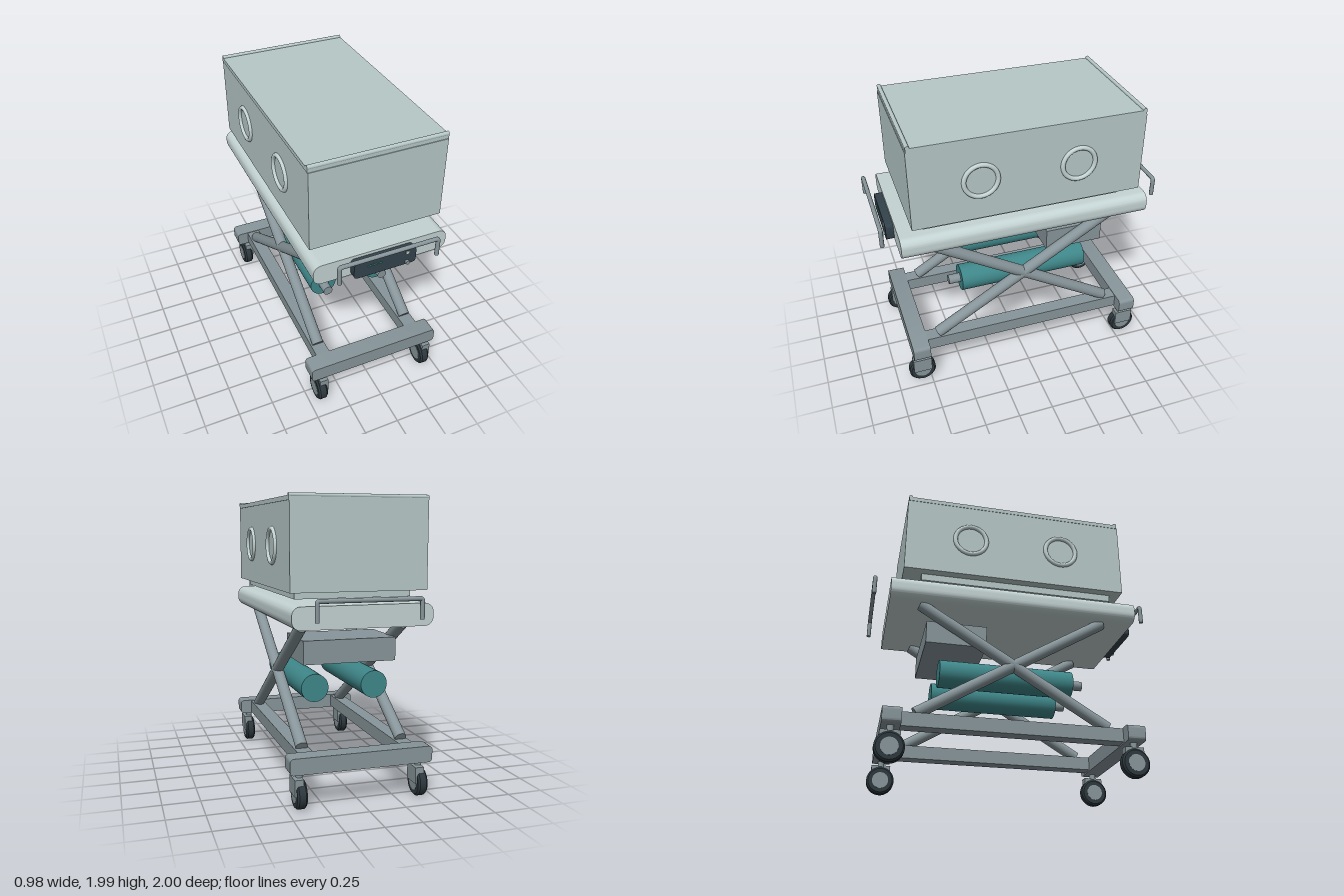
import * as THREE from 'three';
import { toCreasedNormals } from 'three/addons/utils/BufferGeometryUtils.js';

const paint = (name, color) => {
  const m = new THREE.MeshStandardMaterial({ color });
  m.name = name;
  return m;
};

export function createModel() {
  const model = new THREE.Group();
  model.name = 'transportIncubator';
  const canopyMat = paint('canopy grey', 0xb6c8c7);
  const trayMat = paint('pale enamel', 0xc4d3d3);
  const steel = paint('steel', 0x87959a);
  const teal = paint('teal', 0x3f878a);
  const dark = paint('dark plastic', 0x33424b);
  const rubber = paint('rubber', 0x2d383e);
  const green = paint('indicator green', 0x3fb59c);

  const add = (name, geo, mat, x = 0, y = 0, z = 0, parent = model) => {
    const mesh = new THREE.Mesh(geo, mat);
    mesh.name = name;
    mesh.position.set(x, y, z);
    parent.add(mesh);
    return mesh;
  };
  // box given by its limits on each axis
  const box = (name, mat, x0, x1, y0, y1, z0, z1, parent) =>
    add(name, new THREE.BoxGeometry(x1 - x0, y1 - y0, z1 - z0), mat,
      (x0 + x1) / 2, (y0 + y1) / 2, (z0 + z1) / 2, parent);
  // bar with a rounded section in xy, running along z
  const roundedBar = (w, h, r, depth) => {
    const a = w / 2 - r, b = h / 2 - r;
    const s = new THREE.Shape();
    s.absarc(a, b, r, 0, Math.PI / 2);
    s.absarc(-a, b, r, Math.PI / 2, Math.PI);
    s.absarc(-a, -b, r, Math.PI, Math.PI * 1.5);
    s.absarc(a, -b, r, Math.PI * 1.5, Math.PI * 2);
    s.closePath();
    const g = new THREE.ExtrudeGeometry(s, { depth, bevelEnabled: false, curveSegments: 8 });
    g.translate(0, 0, -depth / 2);
    return toCreasedNormals(g, 0.6);
  };
  // cylinder between two points
  const rod = (name, mat, r, a, b, parent, sides = 24) => {
    const from = new THREE.Vector3(...a), to = new THREE.Vector3(...b);
    const dir = to.clone().sub(from);
    const mesh = add(name, new THREE.CylinderGeometry(r, r, dir.length(), sides), mat, 0, 0, 0, parent);
    mesh.position.copy(from).add(to).multiplyScalar(0.5);
    mesh.quaternion.setFromUnitVectors(new THREE.Vector3(0, 1, 0), dir.normalize());
    return mesh;
  };

  // canopy, lid and plinth
  box('canopy', canopyMat, -0.462, 0.462, 1.38, 1.945, -0.8, 0.8);
  box('lid', canopyMat, -0.465, 0.465, 1.945, 1.975, -0.795, 0.795);
  box('plinth', canopyMat, -0.4, 0.4, 1.33, 1.38, -0.67, 0.72);
  for (const s of [-1, 1]) {
    rod('lidEndRail', canopyMat, 0.014, [-0.465, 1.976, s * 0.783], [0.465, 1.976, s * 0.783]);
    // porthole rings
    for (const z of [0.335, -0.335]) {
      const ring = add('portholeRing', new THREE.TorusGeometry(0.114, 0.016, 12, 48), trayMat, s * 0.465, 1.665, z);
      ring.rotation.y = Math.PI / 2;
    }
  }

  // mattress tray
  add('tray', roundedBar(0.945, 0.148, 0.058, 1.76), trayMat, 0, 1.23, 0.002);

  // control panel with indicators and knobs
  const panel = new THREE.Group();
  panel.name = 'controlPanel';
  model.add(panel);
  add('panelBody', roundedBar(0.44, 0.12, 0.025, 0.055), dark, 0, 1.223, 0.91, panel);
  for (const x of [-0.112, -0.074, -0.036]) {
    box('indicator', green, x - 0.012, x + 0.012, 1.237, 1.244, 0.937, 0.943, panel);
  }
  box('switch', trayMat, 0.143, 0.168, 1.246, 1.268, 0.935, 0.943, panel);
  rod('knob', steel, 0.014, [0.155, 1.183, 0.935], [0.155, 1.183, 0.955], panel);

  // push handles at both ends
  for (const s of [-1, 1]) {
    const path = new THREE.CurvePath();
    const v = (x, y) => new THREE.Vector3(x, y, 0);
    const e = 0.343, t = 1.344, r = 0.015;
    path.add(new THREE.LineCurve3(v(-e, 1.215), v(-e, t - r)));
    path.add(new THREE.QuadraticBezierCurve3(v(-e, t - r), v(-e, t), v(-e + r, t)));
    path.add(new THREE.LineCurve3(v(-e + r, t), v(e - r, t)));
    path.add(new THREE.QuadraticBezierCurve3(v(e - r, t), v(e, t), v(e, t - r)));
    path.add(new THREE.LineCurve3(v(e, t - r), v(e, 1.215)));
    const handle = new THREE.Group();
    handle.name = 'pushHandle';
    handle.position.z = s * 0.985;
    model.add(handle);
    add('handleTube', new THREE.TubeGeometry(path, 160, 0.015, 12), steel, 0, 0, 0, handle);
    for (const x of [-e, e]) rod('handleEnd', steel, 0.015, [x, 1.214, 0], [x, 1.23, 0], handle, 12);
  }

  // scissor legs, side rails and gas cylinders
  for (const s of [-1, 1]) {
    const x = s * 0.352;
    for (const d of [-1, 1]) {
      rod('scissorLeg', steel, 0.041, [x, 0.355, d * 0.66], [x, 1.155, -d * 0.66]);
    }
    box('sideRail', steel, x - 0.05, x + 0.05, 0.25, 0.345, -0.76, 0.76);
    rod('gasCylinder', teal, 0.096, [s * 0.214, 0.708, -0.503], [s * 0.214, 0.708, 0.445], model, 32);
    rod('cylinderValve', steel, 0.034, [s * 0.214, 0.708, 0.44], [s * 0.214, 0.708, 0.53]);
    // end crossbar
    add('crossbar', roundedBar(0.975, 0.11, 0.025, 0.125), steel, 0, 0.295, s * 0.813);
  }
  box('batteryBox', steel, -0.325, 0.325, 0.89, 1.05, -0.61, -0.185);

  // casters: the fork plate sits on the +x side of each wheel
  for (const x of [-0.413, 0.413]) for (const z of [-0.813, 0.813]) {
    const caster = new THREE.Group();
    caster.name = 'caster';
    caster.position.set(x, 0, z);
    model.add(caster);
    const h = 0.034, c = 0.012;
    const section = [[0.055, -h], [0.098 - c, -h], [0.098, -h + c], [0.098, h - c], [0.098 - c, h], [0.055, h]];
    const tire = add('tire', toCreasedNormals(new THREE.LatheGeometry(
      section.map(([r, y]) => new THREE.Vector2(r, y)), 32), 0.5), rubber, 0, 0.098, 0, caster);
    tire.rotation.z = Math.PI / 2;
    rod('hub', steel, 0.058, [-0.036, 0.098, 0], [0.036, 0.098, 0], caster);
    box('fork', steel, -0.015, 0.046, 0.1, 0.211, -0.067, 0.067, caster);
    rod('stem', steel, 0.023, [0, 0.2, 0], [0, 0.25, 0], caster);
  }

  return model;
}
